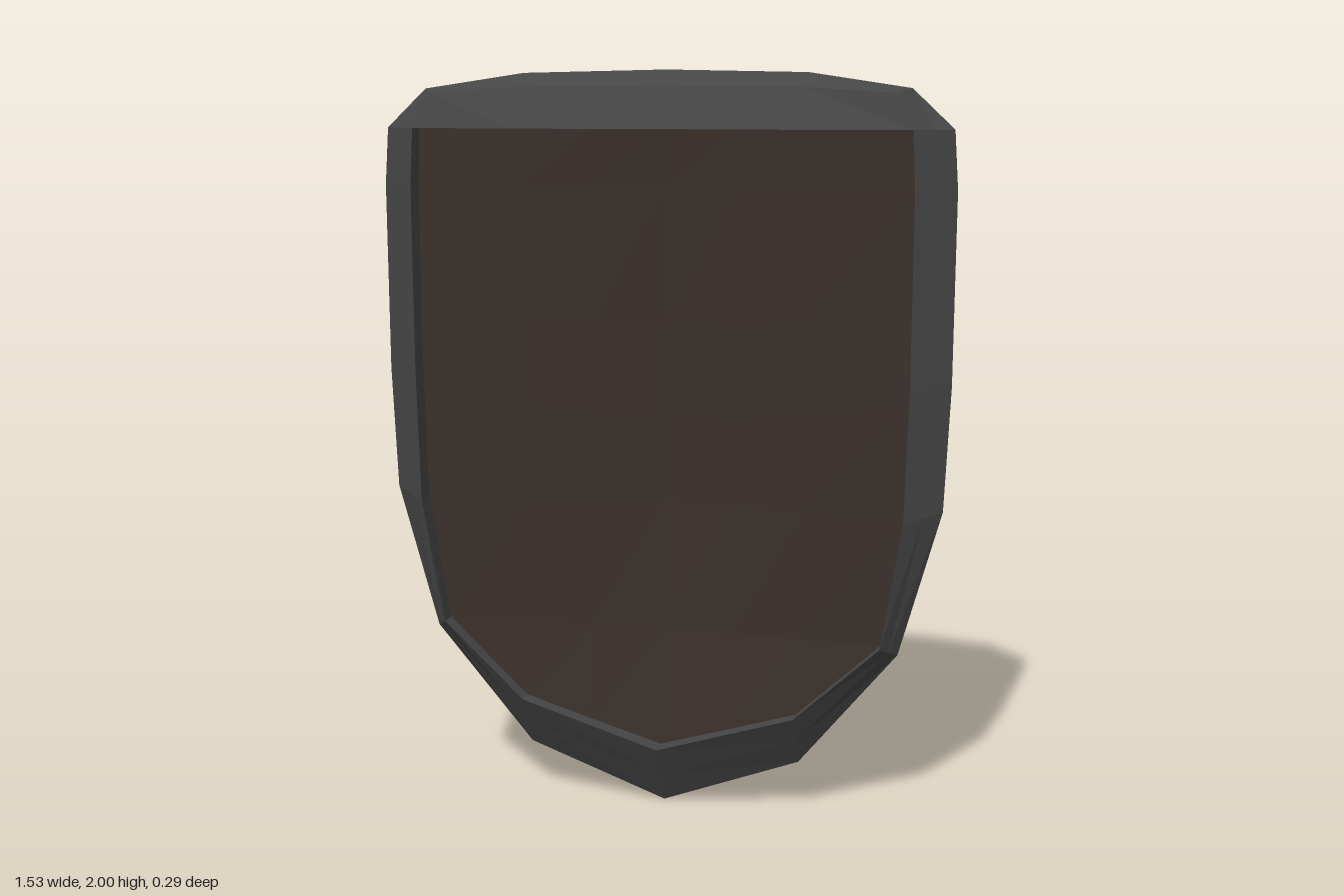
import * as THREE from 'three';

const material = (color) => new THREE.MeshStandardMaterial({ color, flatShading: true });

// Flat-shaded mesh from a list of four-cornered faces
function quadMesh(name, quads, color) {
  const pos = [];
  for (const [a, b, c, d] of quads) pos.push(...a, ...b, ...c, ...a, ...c, ...d);
  const geo = new THREE.BufferGeometry();
  geo.setAttribute('position', new THREE.Float32BufferAttribute(pos, 3));
  geo.computeVertexNormals();
  const mesh = new THREE.Mesh(geo, material(color));
  mesh.name = name;
  return mesh;
}

const mid = (a, b) => a.map((v, i) => (v + b[i]) / 2);

// Rim cross-sections from top centre down the left side to the point:
// outer ridge, inner edge [x, y], its front z and back z, optional bevel [x, y, front z, back z]
const stations = [
  { ridge: [0, 2, -0.013], edge: [0, 1.85], f: 0.119, b: -0.146, bevel: [0, 1.96, 0.075, -0.1] },
  { ridge: [0.378, 1.992, 0.012], edge: [0.378, 1.85], f: 0.143, b: -0.112, bevel: [0.378, 1.955, 0.1, -0.07] },
  { ridge: [0.643, 1.952, 0.036], edge: [0.655, 1.85], f: 0.112, b: -0.05, bevel: [0.61, 1.94, 0.093, -0.03] },
  { ridge: [0.752, 1.85, 0.036], edge: [0.655, 1.85], f: 0.112, b: -0.05 },
  { ridge: [0.763, 1.7, 0.036], edge: [0.663, 1.7], f: 0.115, b: -0.046 },
  { ridge: [0.763, 1.2, 0.036], edge: [0.663, 1.2], f: 0.115, b: -0.046 },
  { ridge: [0.75, 0.87, 0.036], edge: [0.655, 0.85], f: 0.115, b: -0.046 },
  { ridge: [0.642, 0.475, 0.036], edge: [0.6, 0.505], f: 0.102, b: -0.03 },
  { ridge: [0.378, 0.147, 0.02], edge: [0.376, 0.3], f: 0.115, b: -0.077 },
  { ridge: [0, 0, 0.005], edge: [0, 0.18], f: 0.107, b: -0.086 },
];

function section({ ridge, edge, f, b, bevel }) {
  const front = [...edge, f], back = [...edge, b];
  const bevF = bevel ? [bevel[0], bevel[1], bevel[2]] : mid(ridge, front);
  const bevB = bevel ? [bevel[0], bevel[1], bevel[3]] : mid(ridge, back);
  return [back, bevB, ridge, bevF, front];
}

function rim() {
  const half = stations.map(section);
  const mirrored = half.slice(1, -1).reverse().map((s) => s.map(([x, y, z]) => [-x, y, z]));
  const ring = [...half, ...mirrored];
  const quads = [];
  ring.forEach((s, i) => {
    const t = ring[(i + 1) % ring.length];
    s.forEach((p, j) => {
      const k = (j + 1) % s.length;
      quads.push([p, s[k], t[k], t[j]]);
    });
  });
  return quadMesh('rim', quads, 0x464646);
}

// Columns: centre, stripe edge, fold, outer side; bow is 1 at the crown, 0 at the side
const columns = [
  { x: 0, bottom: 0.18, bow: 1, rise: 0, thickness: 0.125 },
  { x: 0.195, bottom: 0.24, bow: 0.76, rise: 0, thickness: 0.122 },
  { x: 0.376, bottom: 0.3, bow: 0.52, rise: 0.4, thickness: 0.113 },
  { bottom: 0.505, bow: 0, rise: 1, thickness: 0.065 },
];
// Rows: height at the middle, height at the side, half width, crown depth
const rows = [
  [1.85, 1.85, 0.655, -0.12], [1.7, 1.7, 0.663, -0.131], [1.337, 1.37, 0.663, -0.146],
  [1.087, 1.15, 0.663, -0.145], [0.85, 0.85, 0.655, -0.137], [0.505, 0.505, 0.6, -0.113],
  [0, 0, 0.6, -0.072],
];
const lastRow = rows.length - 1;
const sideDepth = -0.01;

// Point on the bowed panel, on its back or front skin; column runs -3..3
function panelPoint(column, row, front) {
  const { x, bottom, bow, rise, thickness } = columns[Math.abs(column)];
  const [middleY, sideY, halfWidth, crown] = rows[row];
  const y = row === lastRow ? bottom : middleY + (sideY - middleY) * rise;
  const backZ = sideDepth + (crown - sideDepth) * bow;
  return [Math.sign(column) * (x ?? halfWidth), y, front ? backZ + thickness : backZ];
}

// Panel cells accepted by the test, facing -z on the back skin and +z on the front skin
function panelQuads(front, accept) {
  const quads = [];
  for (let row = 0; row < lastRow; row++) {
    for (let col = -3; col < 3; col++) {
      if (!accept(col, row)) continue;
      const q = [[col, row], [col + 1, row], [col + 1, row + 1], [col, row + 1]]
        .map(([c, r]) => panelPoint(c, r, front));
      quads.push(front ? q.reverse() : q);
    }
  }
  return quads;
}

export function createModel() {
  const shield = new THREE.Group();
  shield.name = 'shield';
  const inCross = (col, row) => col === -1 || col === 0 || row === 2;

  shield.add(
    rim(),
    quadMesh('paintedField', panelQuads(false, (c, r) => !inCross(c, r)), 0xcccccc),
    quadMesh('paintedCross', panelQuads(false, inCross), 0x8a2323),
    quadMesh('woodenLining', panelQuads(true, () => true), 0x3a302b),
  );
  return shield;
}
